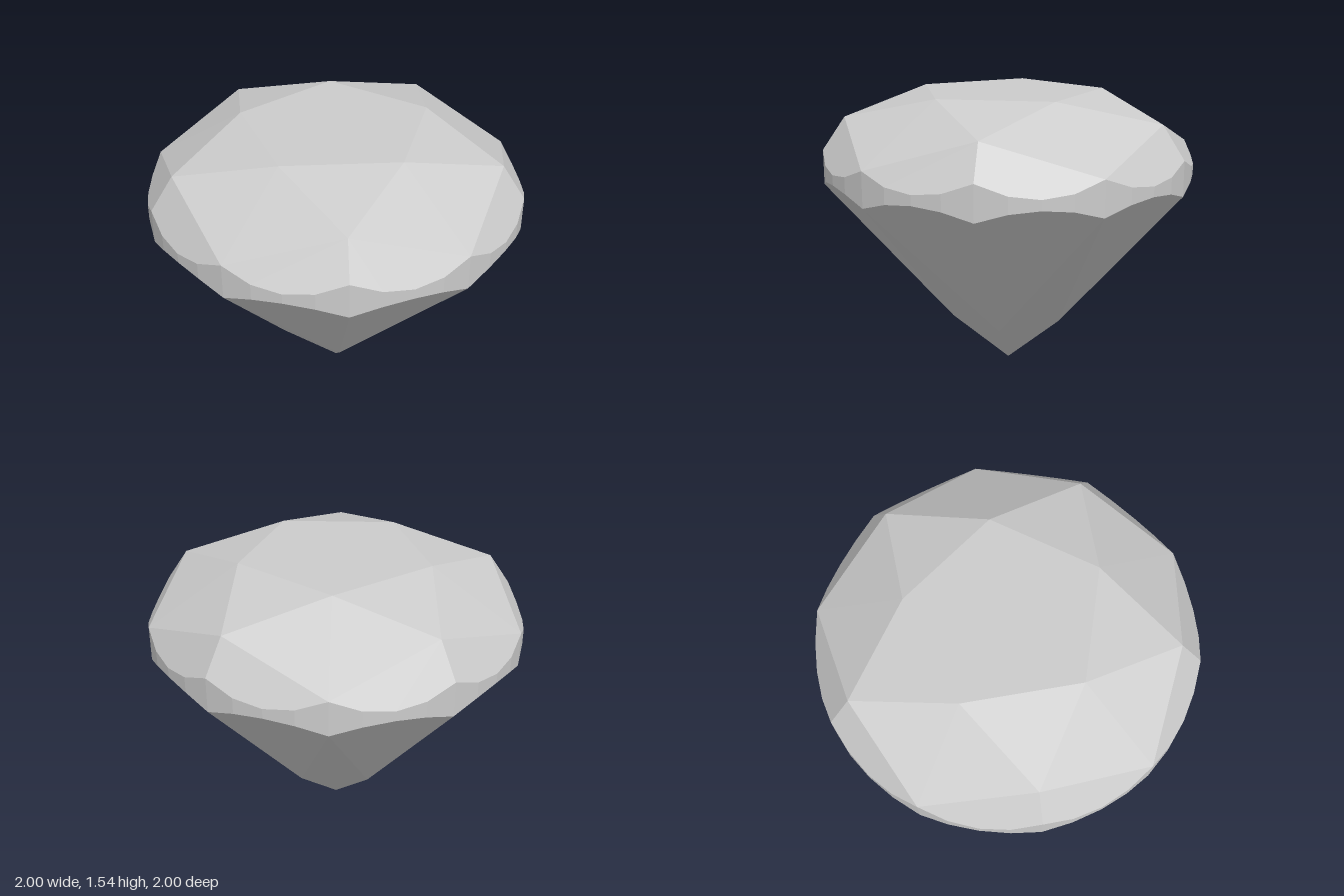
import * as THREE from 'three';

const STEP = Math.PI / 5; // the ten main girdle corners
const SUB = 4; // girdle segments between main corners

const polar = (r, y, a) => new THREE.Vector3(r * Math.cos(a), y, r * Math.sin(a));

// Flat polygons, fanned from their first corner and wound outward from the stone's middle
function facetMesh(name, polygons) {
  const middle = new THREE.Vector3(0, 1, 0);
  const points = [];
  for (const poly of polygons) {
    for (let i = 1; i < poly.length - 1; i++) {
      const [a, b, c] = [poly[0], poly[i], poly[i + 1]];
      const normal = b.clone().sub(a).cross(c.clone().sub(a));
      const outward = normal.dot(a.clone().sub(middle)) > 0;
      points.push(a, ...(outward ? [b, c] : [c, b]));
    }
  }
  const geometry = new THREE.BufferGeometry().setFromPoints(points);
  geometry.computeVertexNormals();
  const mesh = new THREE.Mesh(
    geometry,
    new THREE.MeshStandardMaterial({ color: 0xcccccc, flatShading: true })
  );
  mesh.name = name;
  return mesh;
}

// Points where the plane through a, b, c cuts the unit girdle cylinder
function scallop(a, b, c, from, to) {
  const n = b.clone().sub(a).cross(c.clone().sub(a));
  const arc = [];
  for (let i = 0; i <= SUB; i++) {
    const p = polar(1, 0, from + ((to - from) * i) / SUB);
    p.y = a.y - (n.x * (p.x - a.x) + n.z * (p.z - a.z)) / n.y;
    arc.push(p);
  }
  return arc;
}

export function createModel() {
  const group = new THREE.Group();
  group.name = 'cutGem';

  const culet = new THREE.Vector3(0, 0, 0);
  const table = (a) => polar(0.52, 1.54, a);
  const crownMid = (a) => polar(0.88, 1.415, a);
  const upper = (a) => polar(1, 1.24, a);
  const lower = (a) => polar(1, 1.053, a);
  const pavilionMid = (a) => polar(0.315, 0.268, a);

  const tableRing = [];
  const crown = [];
  const girdle = [];
  const pavilion = [];

  for (let k = 0; k < 5; k++) {
    const a = k * 2 * STEP; // kite axis
    const m = a + STEP; // mid corner axis
    tableRing.push(table(a));

    // Kite and star facets of the crown, kite facets of the pavilion
    crown.push([table(a), crownMid(m), upper(a), crownMid(a - STEP)]);
    crown.push([table(a), table(a + 2 * STEP), crownMid(m)]);
    pavilion.push([culet, pavilionMid(m), lower(a), pavilionMid(a - STEP)]);

    // Scalloped halves either side of the mid corner, with the girdle between
    for (const end of [m - STEP, m + STEP]) {
      const top = scallop(crownMid(m), upper(m), upper(end), m, end);
      const bottom = scallop(pavilionMid(m), lower(m), lower(end), m, end);
      crown.push([crownMid(m), ...top]);
      pavilion.push([pavilionMid(m), ...bottom]);
      for (let i = 0; i < SUB; i++) {
        girdle.push([top[i], top[i + 1], bottom[i + 1], bottom[i]]);
      }
    }
  }

  group.add(
    facetMesh('table', [tableRing]),
    facetMesh('crown', crown),
    facetMesh('girdle', girdle),
    facetMesh('pavilion', pavilion)
  );
  return group;
}
